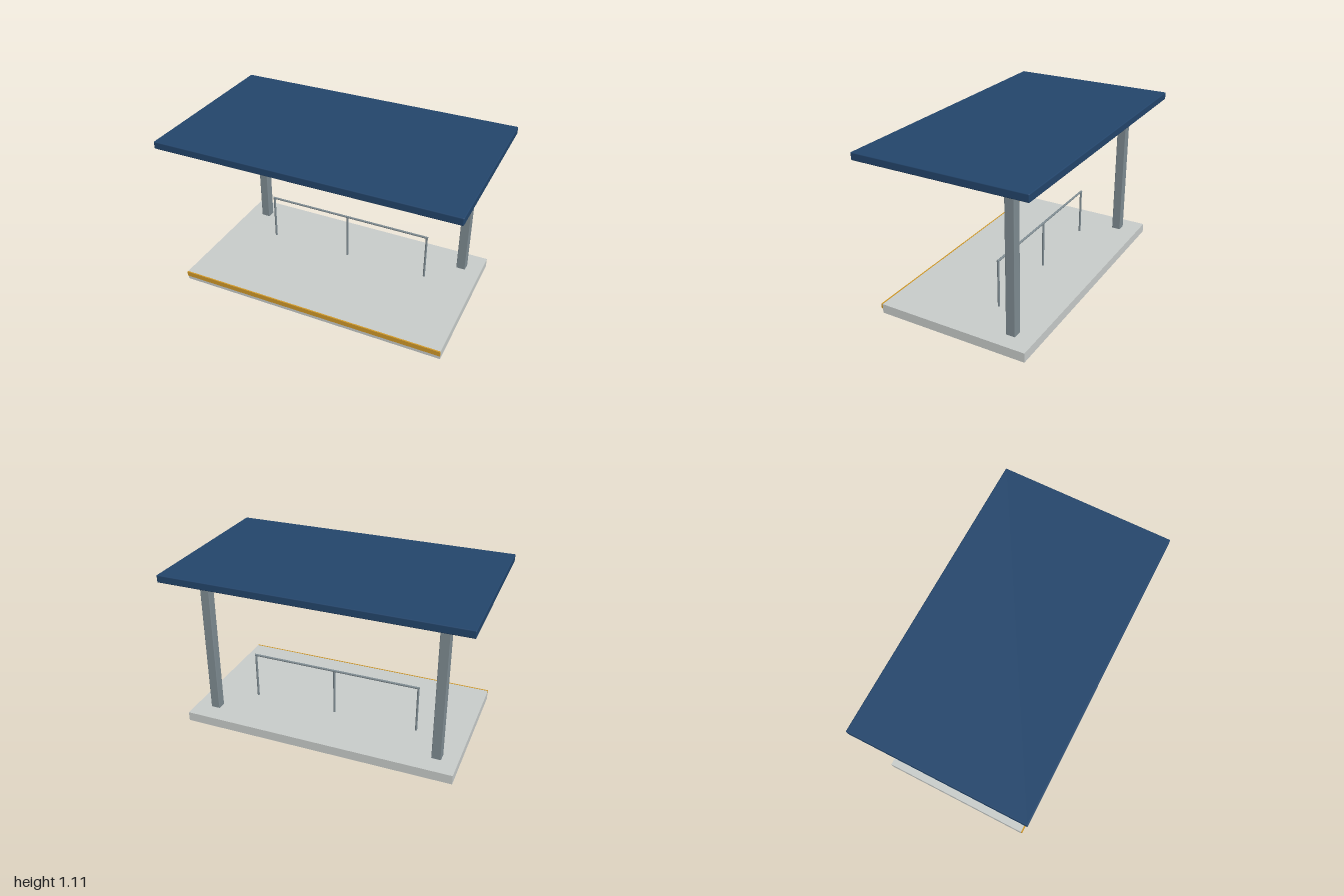
import * as THREE from 'three';
import { RoundedBoxGeometry } from 'three/addons/geometries/RoundedBoxGeometry.js';

export function createModel() {
  const shelter = new THREE.Group();
  shelter.name = 'platformShelter';

  const material = (name, color) => {
    const m = new THREE.MeshStandardMaterial({ color });
    m.name = name;
    return m;
  };
  const navy = material('navy', 0x23456b);
  const concrete = material('concrete', 0xc8ccca);
  const steel = material('steelGrey', 0x7f8c92);
  const yellow = material('safetyYellow', 0xd0992a);

  const add = (name, geometry, mat, x, y, z) => {
    const mesh = new THREE.Mesh(geometry, mat);
    mesh.name = name;
    mesh.position.set(x, y, z);
    shelter.add(mesh);
    return mesh;
  };

  // Platform slab with a warning strip along its front edge
  add('platform', new THREE.BoxGeometry(1.86, 0.064, 1.032), concrete, 0, 0.032, 0);
  add('edgeStrip', new THREE.BoxGeometry(1.86, 0.034, 0.0095), yellow, 0, 0.048, 0.5212);

  // Flat roof with softened edges
  add('roof', new RoundedBoxGeometry(2, 0.05, 1.17, 2, 0.006), navy, 0, 1.082, 0);

  // Hanging sign panel on the model's right
  add('signPanel', new RoundedBoxGeometry(0.252, 0.212, 0.032, 2, 0.004), navy, -0.624, 0.915, 0.053);

  // Pair of roof posts near the back
  for (const side of [-1, 1]) {
    add(side > 0 ? 'leftPost' : 'rightPost',
      new RoundedBoxGeometry(0.063, 1.01, 0.063, 2, 0.004), steel, side * 0.791, 0.562, -0.36);
  }

  // Leaning rail: a round bar on three uprights
  const railZ = -0.137, railY = 0.391, r = 0.0075;
  for (const x of [-0.586, 0, 0.586]) {
    add('railUpright', new THREE.CylinderGeometry(r, r, railY - 0.06, 12), steel, x, (railY + 0.06) / 2, railZ);
  }
  const bar = add('railBar', new THREE.CylinderGeometry(r, r, 1.187, 12), steel, 0, railY, railZ);
  bar.rotation.z = Math.PI / 2;

  return shelter;
}
